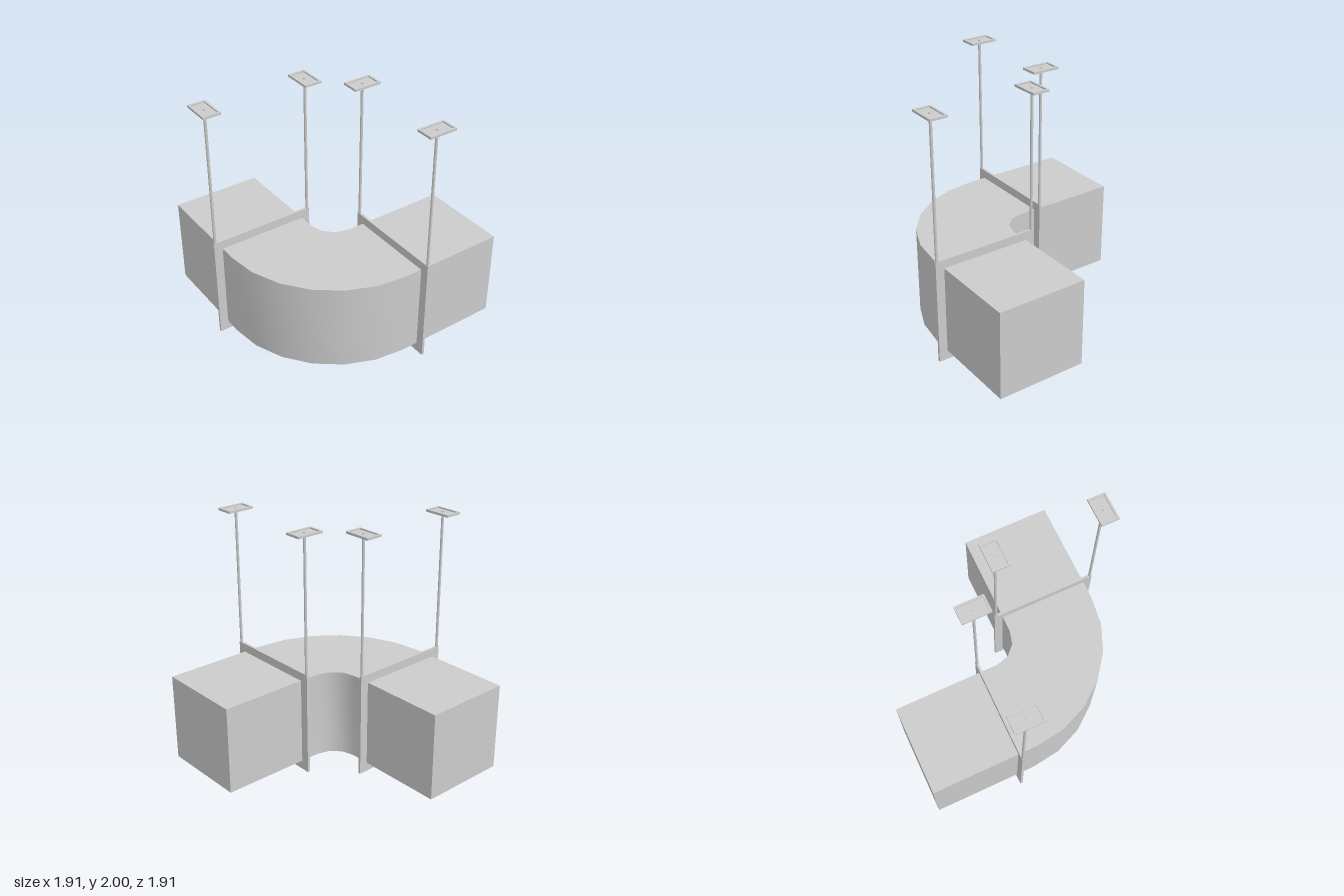
import * as THREE from 'three';
import { toCreasedNormals } from 'three/addons/utils/BufferGeometryUtils.js';

const material = new THREE.MeshStandardMaterial({ color: 0xcccccc });

// Duct section and bend, shared by all parts
const IN = 0.11, OUT = 0.83, MID = 0.47;
const BOTTOM = 0.075, HEIGHT = 0.715;
const END = -0.96, JOINT = -0.245, BEND = -0.1;

function add(parent, name, geometry, x = 0, y = 0, z = 0) {
  const mesh = new THREE.Mesh(geometry, material);
  mesh.name = name;
  mesh.position.set(x, y, z);
  parent.add(mesh);
  return mesh;
}

function rectangle(PathType, x0, y0, x1, y1) {
  return new PathType([[x0, y0], [x1, y0], [x1, y1], [x0, y1]].map(p => new THREE.Vector2(...p)));
}

// Points of the quarter bend, from the left-running leg to the back-running leg
function arc(radius, steps) {
  return Array.from({ length: steps + 1 }, (_, i) => {
    const a = (i / steps) * Math.PI / 2;
    return new THREE.Vector2(BEND + radius * Math.sin(a), -(BEND + radius * Math.cos(a)));
  });
}

function elbowGeometry() {
  const shape = new THREE.Shape([
    new THREE.Vector2(JOINT, -OUT),
    ...arc(OUT - BEND, 6),
    new THREE.Vector2(OUT, -JOINT),
    new THREE.Vector2(IN, -JOINT),
    ...arc(IN - BEND, 3).reverse(),
    new THREE.Vector2(JOINT, -IN),
  ]);
  const geometry = new THREE.ExtrudeGeometry(shape, { depth: HEIGHT, bevelEnabled: false });
  geometry.rotateX(-Math.PI / 2);
  return toCreasedNormals(geometry, 0.6);
}

// Shallow ceiling plate with a raised rim, open upward
function addCeilingPlate(parent, x) {
  const w = 0.07, d = 0.1125, rim = 0.016;
  add(parent, 'ceilingPlate', new THREE.BoxGeometry(2 * w, 0.008, 2 * d), x, 1.986, 0);
  const outline = rectangle(THREE.Shape, -w, -d, w, d);
  outline.holes.push(rectangle(THREE.Path, -w + rim, -d + rim, w - rim, d - rim));
  const geometry = new THREE.ExtrudeGeometry(outline, { depth: 0.01, bevelEnabled: false });
  geometry.rotateX(-Math.PI / 2);
  add(parent, 'ceilingPlateRim', geometry, x, 1.99, 0);
}

// Frame around the duct, hung on two rods
function createHanger() {
  const hanger = new THREE.Group();
  hanger.name = 'hanger';
  const frame = rectangle(THREE.Shape, -0.43, 0, 0.43, 0.86);
  frame.holes.push(rectangle(THREE.Path, -0.36, BOTTOM, 0.36, BOTTOM + HEIGHT));
  const geometry = new THREE.ExtrudeGeometry(frame, { depth: 0.02, bevelEnabled: false });
  add(hanger, 'hangerFrame', geometry, 0, 0, -0.01);
  for (const x of [-0.415, 0.415]) {
    add(hanger, 'hangerRod', new THREE.CylinderGeometry(0.011, 0.011, 1.14, 12), x, 1.428, 0);
    addCeilingPlate(hanger, x);
  }
  return hanger;
}

export function createModel() {
  const model = new THREE.Group();
  model.name = 'ductElbow';

  // Straight legs and the bend between them
  const length = JOINT - END, centre = (JOINT + END) / 2, y = BOTTOM + HEIGHT / 2;
  add(model, 'sideDuct', new THREE.BoxGeometry(length, HEIGHT, OUT - IN), centre, y, MID);
  add(model, 'backDuct', new THREE.BoxGeometry(OUT - IN, HEIGHT, length), MID, y, centre);
  add(model, 'elbow', elbowGeometry(), 0, BOTTOM, 0);

  // One hanger across each leg
  const backHanger = createHanger();
  backHanger.position.set(MID, 0, JOINT);
  const sideHanger = createHanger();
  sideHanger.position.set(JOINT, 0, MID);
  sideHanger.rotation.y = Math.PI / 2;
  model.add(backHanger, sideHanger);

  return model;
}
